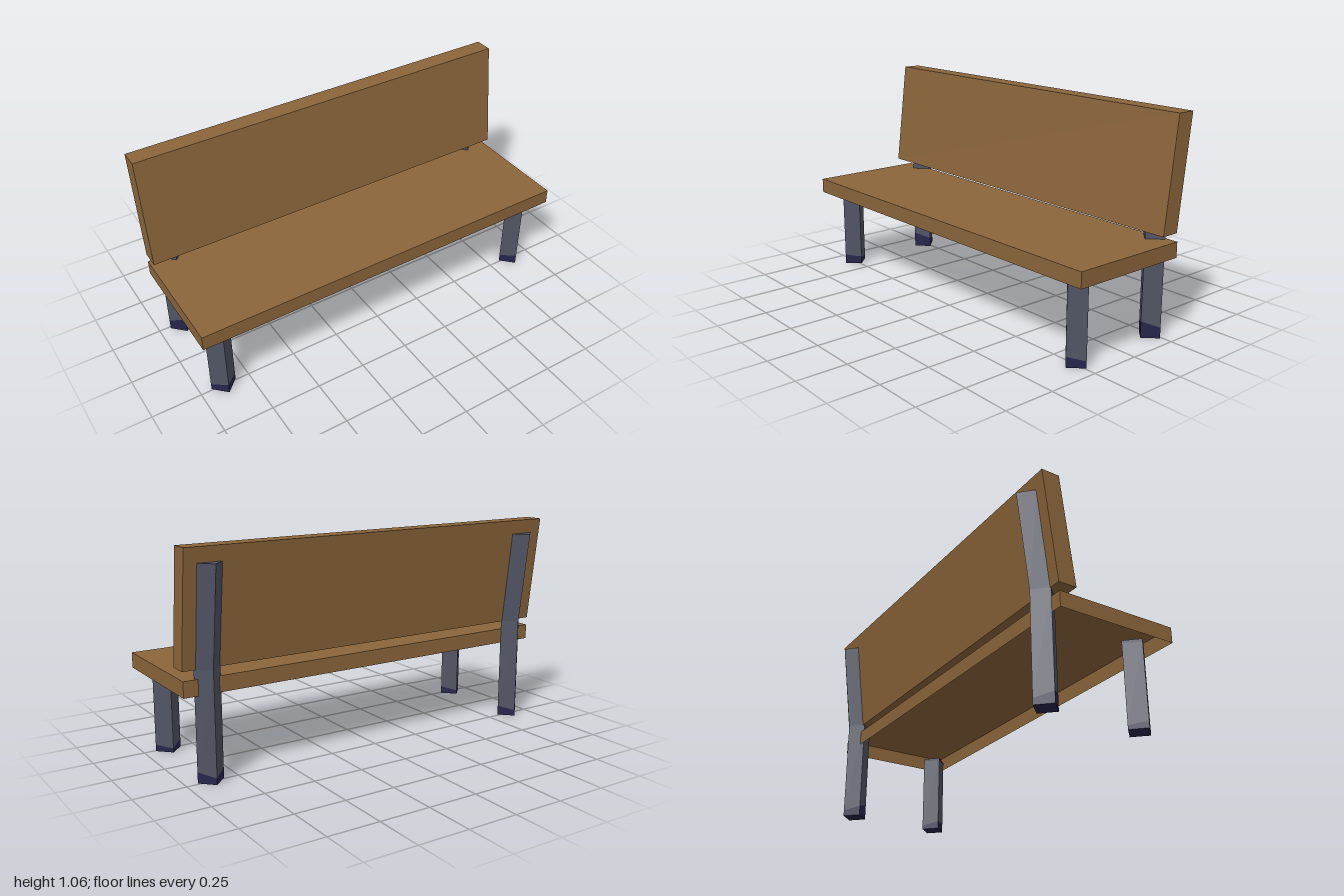
import * as THREE from 'three';

const wood = new THREE.MeshStandardMaterial({ color: 0x8b653a, side: THREE.DoubleSide });
wood.name = 'brown wood';
const slate = new THREE.MeshStandardMaterial({ color: 0x505463 });
slate.name = 'slate metal';
const navy = new THREE.MeshStandardMaterial({ color: 0x24244a });
navy.name = 'navy foot';

// Plank with a small lean (z per unit height) and skew (z per unit x)
function plank(name, width, y0, y1, z0, z1, lean, skew, openBelow) {
  const g = new THREE.BoxGeometry(width, y1 - y0, z1 - z0);
  g.translate(0, (y0 + y1) / 2, (z0 + z1) / 2);
  const p = g.attributes.position;
  for (let i = 0; i < p.count; i++) {
    p.setZ(i, p.getZ(i) + (p.getY(i) - y0) * lean + p.getX(i) * skew);
  }
  g.computeVertexNormals();
  if (openBelow) {
    // Drop the two triangles of the underside
    g.setIndex(Array.from(g.index.array).filter((_, i) => i < 18 || i >= 24));
    g.clearGroups();
  }
  const mesh = new THREE.Mesh(g, wood);
  mesh.name = name;
  return mesh;
}

// Diamond-section post lofted through rings {z, y: one height per corner}
// Corner order: front, +x, back, -x; one material index per section
function post(name, x, rings, mats) {
  const r = 0.0635;
  const loops = rings.map(({ z, y }) => [
    [x, y[0], z + r], [x + r, y[1], z], [x, y[2], z - r], [x - r, y[3], z],
  ]);
  const pos = [];
  const g = new THREE.BufferGeometry();
  const quad = (a, b, c, d, m) => {
    g.addGroup(pos.length / 3, 6, m);
    pos.push(...a, ...b, ...c, ...a, ...c, ...d);
  };
  for (let i = 0; i < loops.length - 1; i++) {
    const lo = loops[i], hi = loops[i + 1];
    for (let j = 0; j < 4; j++) {
      const k = (j + 1) % 4;
      quad(lo[j], lo[k], hi[k], hi[j], mats[i]);
    }
  }
  const b = loops[0], t = loops[loops.length - 1];
  quad(b[3], b[2], b[1], b[0], mats[0]);
  quad(t[0], t[1], t[2], t[3], mats[mats.length - 1]);
  g.setAttribute('position', new THREE.Float32BufferAttribute(pos, 3));
  g.computeVertexNormals();
  const mesh = new THREE.Mesh(g, [slate, navy]);
  mesh.name = name;
  return mesh;
}

const level = (z, y) => ({ z, y: [y, y, y, y] });

export function createModel() {
  const bench = new THREE.Group();
  bench.name = 'bench';

  // Seat shell, hollow underneath, and leaning backrest
  bench.add(plank('seat', 2, 0.402, 0.477, -0.247, 0.356, 0, -0.007, true));
  bench.add(plank('backrest', 2, 0.518, 1.056, -0.2445, -0.154, -0.123, -0.002, false));

  // Legs, mirrored left and right, with painted feet
  for (const s of [1, -1]) {
    const side = s > 0 ? 'Left' : 'Right';
    const paint = (z, front, outer, back, inner) => ({
      z, y: s > 0 ? [front, outer, back, inner] : [front, inner, back, outer],
    });
    // Front leg ends in a dark rim just inside the seat shell
    bench.add(post('frontLeg' + side, s * 0.88, [
      level(0.243, 0), paint(0.243, 0.05, 0.033, 0.02, 0.04),
      level(0.243, 0.402), level(0.243, 0.416),
    ], [1, 0, 1]));
    // Rear post bends back to carry the backrest
    bench.add(post('rearPost' + side, s * 0.88, [
      level(-0.24, 0), paint(-0.24, 0.08, 0.053, 0.03, 0.05),
      level(-0.24, 0.52), level(-0.299, 0.986),
    ], [1, 0, 0]));
  }
  return bench;
}
